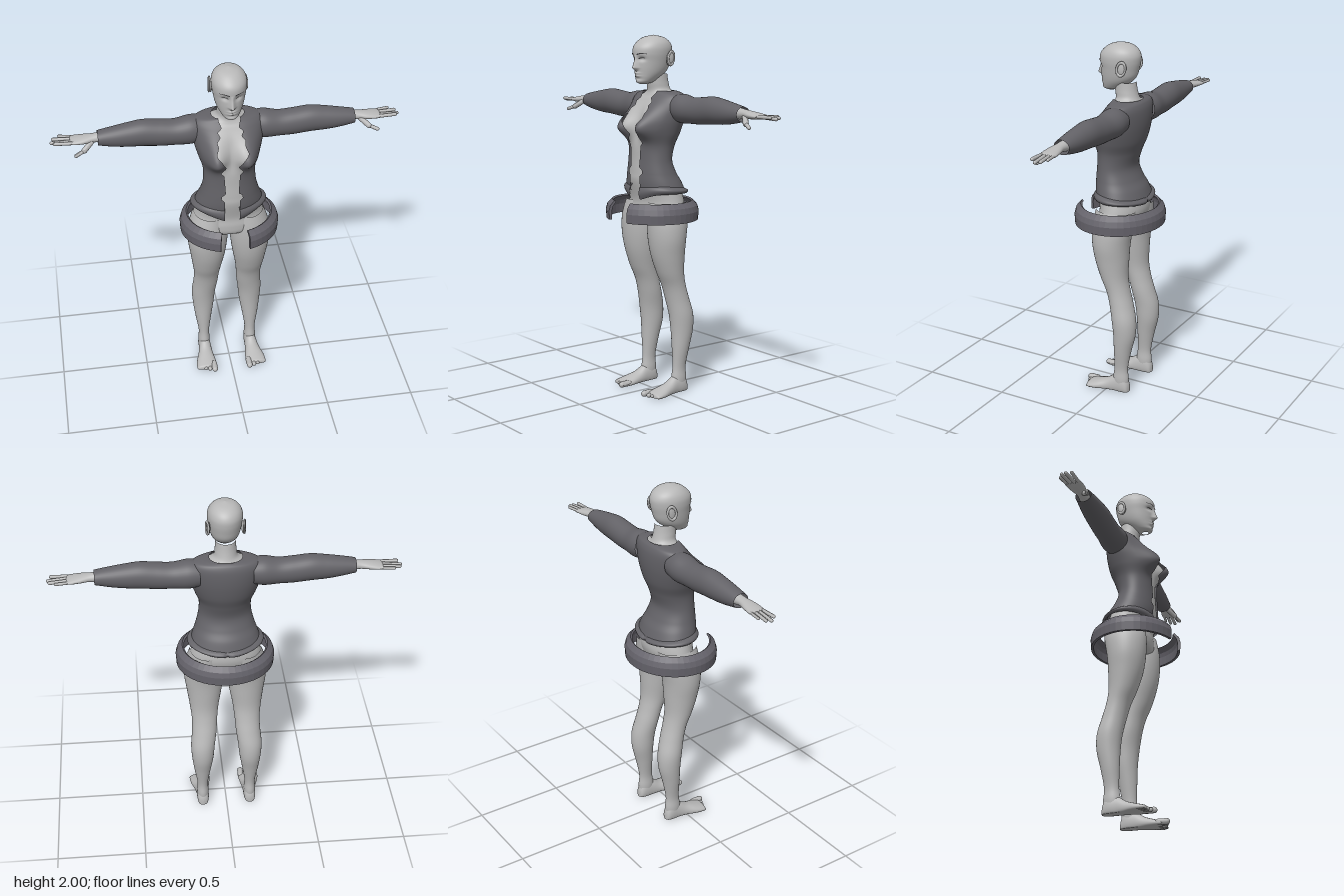
import * as THREE from 'three';
import { mergeVertices } from 'three/addons/utils/BufferGeometryUtils.js';

const { sin, cos, abs, exp, asin, PI, min, max, floor } = Math;
const material = (name, color, side = THREE.FrontSide) => {
  const m = new THREE.MeshStandardMaterial({ color, side });
  m.name = name;
  return m;
};
const gauss = (d, w) => exp(-(d / w) * (d / w));

// Smooth interpolation through rows of numbers, t in 0..1
function curve(rows, t) {
  const s = min(max(t, 0), 1) * (rows.length - 1);
  const i = min(floor(s), rows.length - 2), f = s - i;
  const at = k => rows[min(max(k, 0), rows.length - 1)];
  return rows[0].map((_, c) => {
    const a = at(i - 1)[c], b = at(i)[c], d = at(i + 1)[c], e = at(i + 2)[c];
    return b + 0.5 * f * (d - a + f * (2 * a - 5 * b + 4 * d - e + f * (3 * (b - d) + e - a)));
  });
}

// Straight interpolation in a [position, value] table
function linear(table, p) {
  const i = table.findIndex(r => r[0] >= p);
  if (i < 0) return table[table.length - 1][1];
  if (i === 0) return table[0][1];
  const [a, b] = [table[i - 1], table[i]];
  return a[1] + (b[1] - a[1]) * (p - a[0]) / (b[0] - a[0]);
}

// Surface from fn(u, v), welded and smooth
function grid(nu, nv, fn) {
  const pos = [], index = [];
  for (let j = 0; j <= nv; j++)
    for (let i = 0; i <= nu; i++) pos.push(...fn(i / nu, j / nv));
  for (let j = 0; j < nv; j++)
    for (let i = 0; i < nu; i++) {
      const a = j * (nu + 1) + i, b = a + 1, c = a + nu + 1, d = c + 1;
      index.push(a, b, d, a, d, c);
    }
  const g = new THREE.BufferGeometry();
  g.setAttribute('position', new THREE.Float32BufferAttribute(pos, 3));
  g.setIndex(index);
  const w = mergeVertices(g, 1e-5);
  w.computeVertexNormals();
  return w;
}

// Mirrored copy across x with winding kept outward
function mirrored(g) {
  const m = g.clone().scale(-1, 1, 1);
  const ix = m.index.array;
  for (let i = 0; i < ix.length; i += 3) [ix[i], ix[i + 1]] = [ix[i + 1], ix[i]];
  m.computeVertexNormals();
  return m;
}

// Horizontal section row [y, halfWidth, frontZ, backZ]
const section = ([y, rx, zf, zb], t) => [rx * sin(t), y, (zf + zb) / 2 + (zf - zb) / 2 * cos(t)];

const JACKET = [
  [1.15, .195, .115, -.165], [1.2, .178, .122, -.145], [1.25, .16, .122, -.115],
  [1.32, .144, .118, -.092], [1.4, .143, .115, -.113], [1.47, .165, .1, -.14],
  [1.54, .185, .09, -.155], [1.6, .195, .075, -.16], [1.65, .195, .05, -.157],
  [1.68, .175, .028, -.147], [1.693, .13, .022, -.135], [1.697, .088, .022, -.125]];
const TORSO = [
  [.96, .05, .04, -.07], [.99, .17, .085, -.12], [1.04, .2, .093, -.145], [1.1, .19, .09, -.153],
  ...JACKET.slice(1, 9).map(([y, rx, zf, zb]) => [y, rx * .94, zf - .01, zb + .014]),
  [1.675, .12, .025, -.13], [1.7, .068, .018, -.112], [1.74, .057, .024, -.1], [1.79, .054, .03, -.092]];
const OPENING = [
  [1.13, .045], [1.235, .04], [1.25, .058], [1.27, .055], [1.285, .035], [1.4, .042], [1.42, .06],
  [1.44, .05], [1.46, .032], [1.49, .045], [1.52, .06], [1.55, .085], [1.58, .07], [1.6, .075],
  [1.62, .055], [1.64, .068], [1.66, .045], [1.69, .058]];
const HEAD = [
  [1.735, .015, .08, .04], [1.745, .037, .1, 0], [1.762, .052, .103, -.03], [1.79, .068, .104, -.07],
  [1.82, .078, .107, -.095], [1.86, .086, .109, -.108], [1.9, .092, .115, -.117],
  [1.935, .091, .11, -.117], [1.965, .078, .085, -.1], [1.988, .05, .048, -.064], [2, 0, -.008, -.008]];
const LEG = [ // [y, innerX, outerX, frontZ, backZ]
  [.02, .11, .17, -.04, -.125], [.08, .106, .174, -.035, -.13], [.15, .109, .171, -.044, -.125],
  [.26, .093, .188, -.043, -.145], [.36, .077, .2, -.04, -.168], [.45, .068, .205, -.03, -.168],
  [.54, .056, .197, -.012, -.145], [.62, .05, .195, .01, -.122], [.7, .04, .204, .045, -.108],
  [.8, .022, .218, .078, -.11], [.9, .009, .231, .095, -.117], [1, .004, .225, .098, -.135],
  [1.09, .004, .195, .085, -.145]];
const SLEEVE = [ // [x, centreY, radiusY, centreZ, radiusZ]
  [.14, 1.61, .07, -.065, .07], [.2, 1.607, .079, -.062, .078], [.28, 1.601, .071, -.06, .07],
  [.36, 1.604, .073, -.06, .068], [.45, 1.612, .073, -.06, .066], [.53, 1.609, .066, -.058, .061],
  [.6, 1.607, .056, -.056, .055], [.66, 1.607, .045, -.055, .048], [.69, 1.607, .038, -.055, .045]];
const PALM = [
  [.66, 1.61, .03, -.058, .03], [.71, 1.61, .023, -.055, .029], [.76, 1.607, .02, -.055, .04],
  [.81, 1.604, .015, -.058, .045], [.832, 1.604, .009, -.06, .04], [.838, 1.604, 0, -.06, 0]];
const FOOT = [ // [z, centreX, halfWidth, height]
  [-.136, .14, 0, .03], [-.128, .14, .024, .065], [-.1, .14, .034, .11], [-.05, .14, .036, .1],
  [0, .143, .043, .068], [.05, .147, .055, .05], [.095, .148, .06, .036], [.115, .147, .053, .028],
  [.122, .147, 0, .012]];

// Torso surface with the chest raised by amount
function chest(row, t, amount) {
  const p = section(row, t);
  if (cos(t) > 0) {
    const b = gauss(abs(p[0]) - .088, .062) * gauss(p[1] - 1.5, p[1] > 1.5 ? .085 : .06);
    p[2] += amount * b * min(1, cos(t) * 2);
  }
  return p;
}

// Head surface with sockets, nose and lips
function face(t, v) {
  const p = section(curve(HEAD, v), t), [x, y] = p;
  if (cos(t) > 0) {
    const n = y > 1.823 ? max(0, 1 - (y - 1.823) / .07) : max(0, 1 - (1.823 - y) / .018);
    p[2] += .029 * n * gauss(x, .009 + .006 * n);
    p[2] -= .011 * gauss(abs(x) - .036, .019) * gauss(y - 1.872, .013);
    p[2] += .007 * gauss(x, .022) * (gauss(y - 1.794, .006) + gauss(y - 1.78, .006));
    p[2] -= .004 * gauss(x, .03) * gauss(y - 1.765, .007);
  }
  return p;
}

const tubeX = (rows, u, v) => {
  const [x, cy, ry, cz, rz] = curve(rows, v);
  return [x, cy + ry * cos(2 * PI * u), cz + rz * sin(2 * PI * u)];
};

// Rounded rod between two points
function rod(a, b, r) {
  const A = new THREE.Vector3(...a), d = new THREE.Vector3(...b).sub(A);
  const g = new THREE.CapsuleGeometry(r, d.length(), 5, 12);
  g.applyQuaternion(new THREE.Quaternion().setFromUnitVectors(new THREE.Vector3(0, 1, 0), d.clone().normalize()));
  return g.translate(...A.addScaledVector(d, .5).toArray());
}

export function createModel() {
  const model = new THREE.Group();
  const skin = material('skin', 0xb9b9b9);
  const cloth = material('jacketCloth', 0x636267, THREE.DoubleSide);
  const bandCloth = material('skirtCloth', 0x66646c, THREE.DoubleSide);
  const dark = material('browDark', 0x3c3c3e, THREE.DoubleSide);
  const add = (name, g, m) => {
    const mesh = new THREE.Mesh(g, m);
    mesh.name = name;
    model.add(mesh);
  };
  const pair = (name, g, m) => {
    add(name + 'Left', g, m);
    add(name + 'Right', mirrored(g), m);
  };

  // Body and head
  add('torso', grid(72, 90, (u, v) => chest(curve(TORSO, v), 2 * PI * u, .075)), skin);
  add('head', grid(110, 100, (u, v) => face(2 * PI * u - .55 * sin(2 * PI * u), v)), skin);
  const ear = new THREE.SphereGeometry(1, 16, 12).scale(.01, .04, .025).rotateX(-.2).translate(.09, 1.872, -.055);
  pair('ear', ear, skin);
  const rim = new THREE.TorusGeometry(.024, .006, 8, 24).rotateY(PI / 2).scale(1, 1.5, 1)
    .rotateX(-.2).rotateY(.2).translate(.096, 1.875, -.057);
  pair('earRim', rim, skin);

  // Brows and lash lines laid on the face
  const strip = (x0, x1, v0, arch, thick) => grid(14, 2, (u, v) => {
    const t = asin((x0 + (x1 - x0) * u) / .092);
    const p = face(t, v0 + arch * sin(PI * u * .8) + (v - .5) * thick * (1.1 - u * .7));
    return [p[0] * 1.01, p[1], p[2] + .003];
  });
  pair('brow', strip(.014, .064, .588, .016, .018), dark);
  pair('lashLine', strip(.02, .054, .534, .012, .013), dark);

  // Legs and feet
  pair('leg', grid(40, 60, (u, v) => {
    const [y, xi, xo, zf, zb] = curve(LEG, v);
    const p = section([y, (xo - xi) / 2, zf, zb], 2 * PI * u);
    return [p[0] + (xi + xo) / 2, p[1], p[2]];
  }), skin);
  pair('foot', grid(32, 36, (u, v) => {
    const [z, cx, w, h] = curve(FOOT, v), c = cos(2 * PI * u);
    return [cx - w * sin(2 * PI * u), c > 0 ? h * (.35 + .65 * c) : max(.006, h * .35 * (1 + 1.6 * c)), z];
  }), skin);
  for (let i = 0; i < 5; i++) {
    const r = i ? .0125 - i * .0006 : .017, x = [.105, .133, .156, .177, .196][i];
    pair('toe' + (i + 1), rod([x, r + .004, .09 - i * .004], [x, r + .002, .137 - i * .01], r), skin);
  }

  // Hands
  pair('palm', grid(28, 30, (u, v) => tubeX(PALM, u, v)), skin);
  [[-.092, -.104, .89], [-.07, -.083, .922], [-.047, -.056, .931], [-.027, -.03, .915]].forEach(([z0, z1, x], i) =>
    pair('finger' + (i + 1), rod([.815, 1.604, z0], [x, 1.606 - (i % 3) * .004, z1], i ? .0095 : .008), skin));
  pair('thumbBase', rod([.725, 1.597, -.035], [.765, 1.566, -.005], .015), skin);
  pair('thumbTip', rod([.765, 1.566, -.005], [.81, 1.55, .013], .01), skin);

  // Jacket with ragged open front
  add('jacket', grid(90, 110, (u, v) => {
    const row = curve(JACKET, v);
    const t0 = asin(min(.95, linear(OPENING, row[0]) / row[1]));
    return chest(row, t0 + (2 * PI - 2 * t0) * u, .092);
  }), cloth);
  pair('sleeve', grid(36, 50, (u, v) => tubeX(SLEEVE, u, v)), cloth);

  // Rolled hem, longer at front and back, notched behind
  add('hem', grid(90, 12, (u, v) => {
    const t = .2 + (2 * PI - .4) * u, s = sin(PI * v);
    const low = 1.143 - .043 * gauss(sin(t / 2), .28) - .022 * gauss(cos(t / 2), .4);
    const high = 1.18 + .02 * cos(t);
    const r = .02 * s - .02 * v - .012 * gauss(t - PI, .06);
    return [(.2 + r) * sin(t), low + (high - low) * v, -.027 + (.145 + r) * cos(t)];
  }), cloth);

  // Faceted skirt band, open at the front
  const profile = [[.272, .99], [.275, 1.04], [.266, 1.07], [.238, 1.097],
    [.228, 1.09], [.25, 1.063], [.256, 1.04], [.256, .99], [.272, .99]];
  const n = 44;
  const band = grid(n, 8, (u, v) => {
    const i = Math.round(u * n), j = Math.round(v * 8);
    const end = i === 0 || i === n;
    const [r, y] = profile[end && j > 3 ? max(0, 7 - j) : j];
    const t = .3 + (2 * PI - .6) * (min(max(i, 1), n - 1) - 1) / (n - 2);
    return [r * sin(t), y, r * .905 * cos(t)];
  }).toNonIndexed();
  band.computeVertexNormals();
  add('skirtBand', band, bandCloth);

  return model;
}
